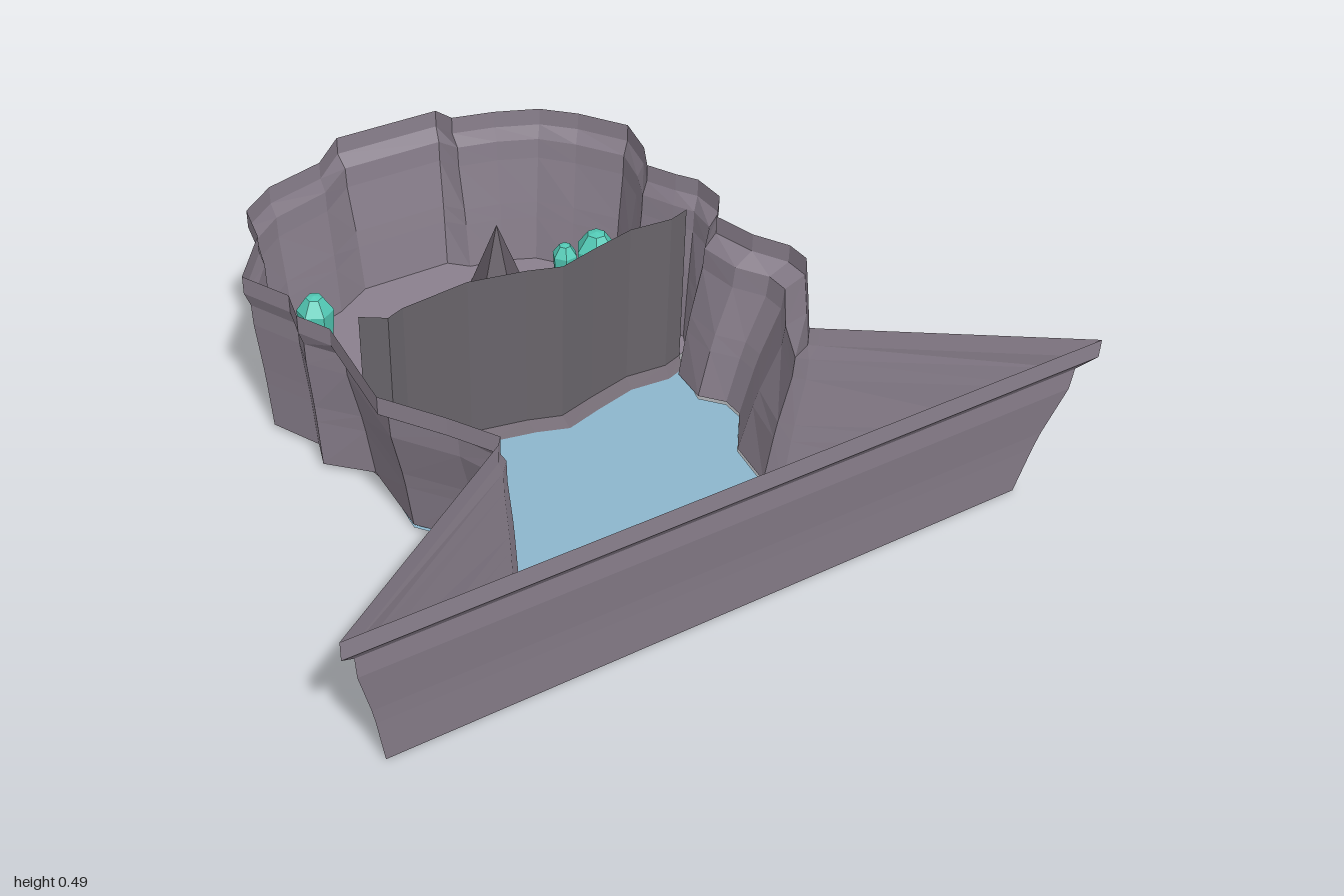
import * as THREE from 'three';

const mat = (color) => new THREE.MeshStandardMaterial({ color, flatShading: true, side: THREE.DoubleSide });
const rock = mat(0x8a808d), darkRock = mat(0x68646a), bankRock = mat(0x736a73);
const water = mat(0x8cb6cc), crystal = mat(0x52c9b5), stone = mat(0x5e565f);

// Wall outline, each point: rim x, rim z, foot x, foot z
const leftSide = [ // +x, back to front
  [0.16, -0.9, 0.15, -0.84], [0.18, -0.84, 0.2, -0.79], [0.3, -0.81, 0.3, -0.77], [0.42, -0.76, 0.39, -0.73],
  [0.5, -0.68, 0.46, -0.64], [0.585, -0.55, 0.54, -0.53], [0.555, -0.42, 0.51, -0.435], [0.51, -0.335, 0.475, -0.335],
  [0.55, -0.255, 0.52, -0.23], [0.585, -0.2, 0.54, -0.17], [0.585, -0.1, 0.51, -0.11], [0.52, -0.02, 0.43, -0.03],
  [0.55, 0.1, 0.42, 0.08], [0.6, 0.19, 0.47, 0.14], [0.6, 0.26, 0.47, 0.2], [0.5, 0.4, 0.38, 0.32],
  [0.42, 0.51, 0.36, 0.46], [0.44, 0.525, 0.39, 0.5], [1, 0.89, 0.89, 0.8],
];
const rightSide = [ // -x, front to back
  [-1, 0.89, -0.88, 0.8], [-0.44, 0.525, -0.39, 0.5], [-0.42, 0.5, -0.35, 0.45], [-0.49, 0.38, -0.37, 0.3],
  [-0.59, 0.23, -0.48, 0.16], [-0.565, -0.07, -0.47, -0.07], [-0.61, -0.16, -0.57, -0.17], [-0.59, -0.25, -0.545, -0.25],
  [-0.655, -0.385, -0.61, -0.385], [-0.545, -0.54, -0.515, -0.53], [-0.52, -0.67, -0.47, -0.645],
  [-0.42, -0.75, -0.4, -0.71], [-0.25, -0.8, -0.23, -0.77], [-0.15, -0.9, -0.12, -0.84],
];
// Wall section: height, share of the way from foot to rim
const section = [[0, 0], [0.14, 0.21], [0.19, 0.3], [0.33, 0.62], [0.39, 0.66], [0.43, 1], [0.48, 1]];
// Wavy line between the cave floor and the pool, from -x to +x
const shore = [[-0.48, -0.09], [-0.42, -0.05], [-0.37, -0.07], [-0.18, -0.09], [-0.03, -0.06],
  [0.06, -0.03], [0.17, -0.06], [0.3, -0.09], [0.42, -0.08], [0.48, -0.1]];

// Sheet through rows of points
function loft(rows, closed, material, name) {
  const n = rows[0].length, index = [];
  for (let r = 0; r < rows.length - 1; r++) {
    for (let i = 0; i < (closed ? n : n - 1); i++) {
      const j = (i + 1) % n, a = r * n + i, b = r * n + j;
      index.push(a, a + n, b, b, a + n, b + n);
    }
  }
  const g = new THREE.BufferGeometry();
  g.setAttribute('position', new THREE.Float32BufferAttribute(rows.flat(2), 3));
  g.setIndex(index);
  g.computeVertexNormals();
  const mesh = new THREE.Mesh(g, material);
  mesh.name = name;
  return mesh;
}

// Flat horizontal polygon facing up
function sheet(points, y, material, name) {
  const shape = new THREE.Shape(points.map(([x, z]) => new THREE.Vector2(x, -z)));
  const mesh = new THREE.Mesh(new THREE.ShapeGeometry(shape).rotateX(-Math.PI / 2), material);
  mesh.position.y = y;
  mesh.name = name;
  return mesh;
}

export function createModel() {
  const model = new THREE.Group();

  // Flared rock wall all the way round
  const outline = [...leftSide, ...rightSide];
  const wallRows = section.map(([y, t]) => outline.map(([rx, rz, fx, fz]) => [
    fx + (rx - fx) * t, y + (rz > 0.8 ? 0 : 0.013), fz + (rz - fz) * t]));
  model.add(loft(wallRows, true, rock, 'rockWall'));

  // Floor behind the shore, pool in front of it
  const foot = (side, test) => side.map((p) => [p[2], p[3]]).filter((p) => test(p[1]));
  const back = (z) => z < -0.1, front = (z) => z > -0.02;
  const waterLine = shore.map(([x, z]) => [x * 0.96, z + 0.045]);
  model.add(sheet([...foot(leftSide, back), ...[...shore].reverse(), ...foot(rightSide, back)], 0.015, rock, 'caveFloor'));
  model.add(sheet([...waterLine, ...foot(leftSide, front), ...foot(rightSide, front)], 0.004, water, 'poolWater'));

  // Sloping bank and the upright partition standing on the shore
  const at = (line, y) => line.map(([x, z]) => [x, y, z]);
  model.add(loft([at(shore, 0.015), at(waterLine, 0.002)], false, bankRock, 'bank'));
  model.add(loft([at(shore, 0.015), at(shore, 0.485)], false, darkRock, 'partition'));

  // Stalagmites: x, z, radius, height
  [[0.23, -0.68, 0.08, 0.2], [-0.44, -0.4, 0.048, 0.18], [-0.41, -0.16, 0.055, 0.18], [0.43, -0.2, 0.043, 0.19]]
    .forEach(([x, z, r, h], i) => {
      const m = new THREE.Mesh(new THREE.ConeGeometry(r, h, 6), stone);
      m.position.set(x, 0.008 + h / 2, z);
      m.rotation.y = i * 1.3;
      m.name = 'stalagmite';
      model.add(m);
    });

  // Six-sided crystals with blunt tips: x, z, radius
  [[0.455, -0.5, 0.06], [0.405, -0.59, 0.038], [0.385, -0.38, 0.034], [0.35, -0.49, 0.02],
    [-0.36, -0.65, 0.052], [-0.41, -0.57, 0.034]].forEach(([x, z, r], i) => {
    const profile = [[0, 0], [0.8, 0], [1, 2.5], [0.45, 3.3], [0, 3.4]].map(([a, b]) => new THREE.Vector2(a * r, b * r));
    const m = new THREE.Mesh(new THREE.LatheGeometry(profile, 6), crystal);
    m.position.set(x, 0.006, z);
    m.rotation.y = 0.5 + i * 0.15;
    m.name = 'crystal';
    model.add(m);
  });

  return model;
}
